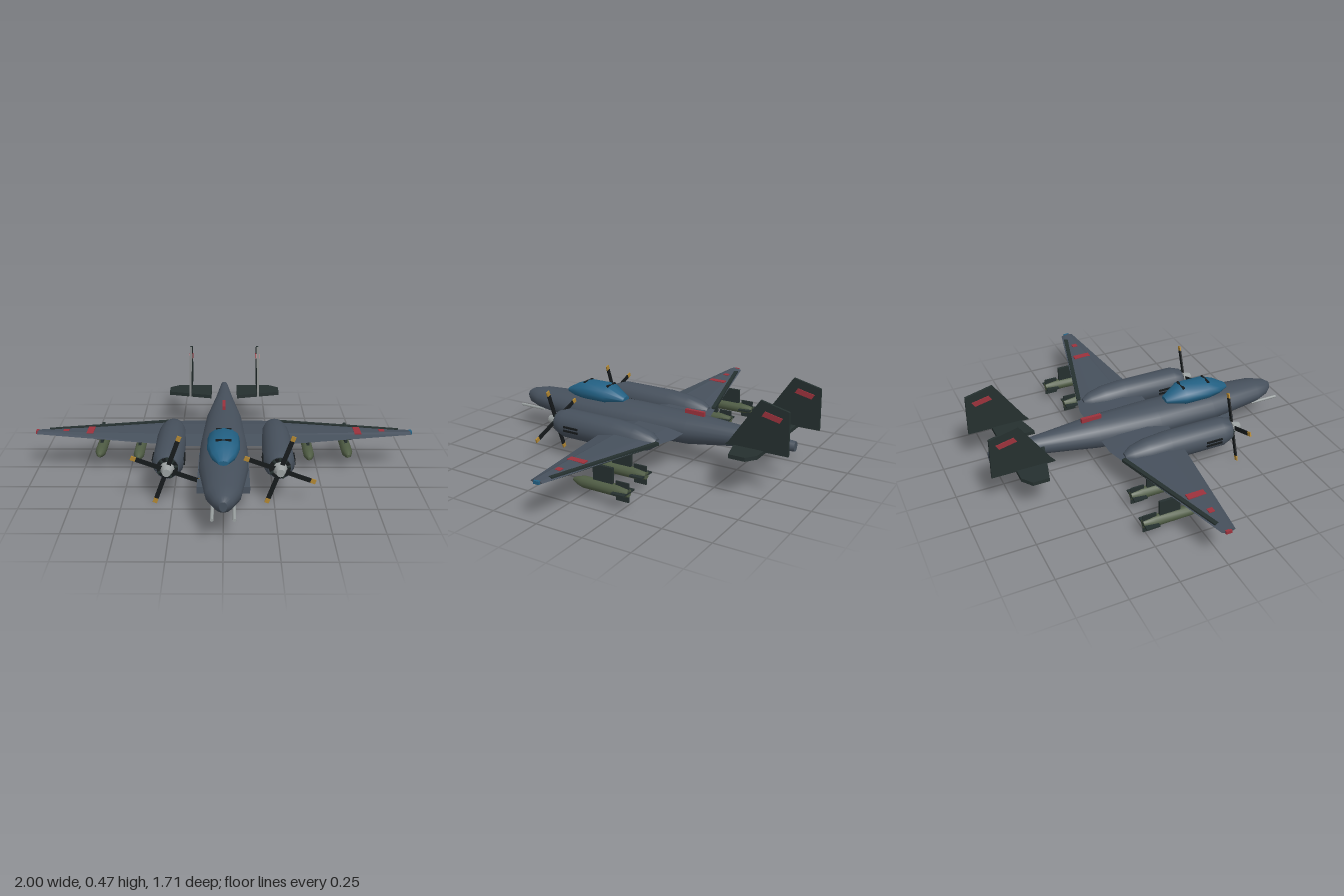
import * as THREE from 'three';

const mat = (name, color) => Object.assign(new THREE.MeshStandardMaterial({ color }), { name });
const M = {
  slate: mat('slate paint', 0x46505c),
  dark: mat('dark green paint', 0x25302f),
  black: mat('black', 0x15191b),
  olive: mat('olive', 0x4f5c44),
  glass: mat('blue glass', 0x226083),
  red: mat('red marking', 0x9c323c),
  gold: mat('yellow tip', 0xb08632),
  metal: mat('light metal', 0x9aa0a0),
};

// skin a list of closed rings, each counter-clockwise seen from the first end
function loft(rings, flat = false) {
  const n = rings[0].length, pos = [], idx = [];
  rings.forEach(r => r.forEach(p => pos.push(...p)));
  for (let i = 0; i < rings.length - 1; i++) {
    for (let j = 0; j < n; j++) {
      const a = i * n + j, b = i * n + (j + 1) % n;
      idx.push(a, a + n, b, b, a + n, b + n);
    }
  }
  // separate end caps keep a hard edge
  [rings[0], rings[rings.length - 1]].forEach((r, e) => {
    const base = pos.length / 3;
    r.forEach(p => pos.push(...p));
    for (let j = 1; j < n - 1; j++) idx.push(base, base + (e ? j + 1 : j), base + (e ? j : j + 1));
  });
  let g = new THREE.BufferGeometry();
  g.setAttribute('position', new THREE.Float32BufferAttribute(pos, 3));
  g.setIndex(idx);
  if (flat) g = g.toNonIndexed();
  g.computeVertexNormals();
  return g;
}

// elliptical body along z, stations are [z, centreY, halfWidth, halfHeight]
const body = (stations, sides) => loft(stations.map(([z, y, rx, ry]) =>
  Array.from({ length: sides }, (_, j) => {
    const a = (j / sides) * Math.PI * 2;
    return [Math.cos(a) * rx, y + Math.sin(a) * ry, z];
  })));

// flat outline with a centred thickness
function plate(points, depth) {
  const shape = new THREE.Shape(points.map(p => new THREE.Vector2(...p)));
  return new THREE.ExtrudeGeometry(shape, { depth, bevelEnabled: false }).translate(0, 0, -depth / 2);
}
const finPlate = (pts, d) => plate(pts.map(([z, y]) => [-z, y]), d).rotateY(Math.PI / 2);
const planPlate = (pts, d) => plate(pts.map(([x, z]) => [x, -z]), d).rotateX(-Math.PI / 2);
const rod = (rFront, rBack, len, sides = 12) =>
  new THREE.CylinderGeometry(rFront, rBack, len, sides).rotateX(Math.PI / 2);

function add(parent, name, geometry, material, x = 0, y = 0, z = 0) {
  const m = new THREE.Mesh(geometry, material);
  m.name = name;
  m.position.set(x, y, z);
  parent.add(m);
  return m;
}
const box = (parent, name, material, w, h, d, x, y, z) =>
  add(parent, name, new THREE.BoxGeometry(w, h, d), material, x, y, z);

function makePropeller() {
  const g = new THREE.Group();
  g.name = 'propeller';
  add(g, 'spinner', rod(0.02, 0.036, 0.055), M.metal, 0, 0, 0.012);
  for (let i = 0; i < 4; i++) {
    const arm = new THREE.Group();
    arm.name = 'blade';
    arm.rotation.z = THREE.MathUtils.degToRad(70 + i * 90);
    box(arm, 'bladeBody', M.black, 0.145, 0.022, 0.007, 0.0875, 0, 0);
    box(arm, 'bladeTip', M.gold, 0.026, 0.022, 0.007, 0.173, 0, 0);
    g.add(arm);
  }
  return g;
}

function makeEngine(s) {
  const g = new THREE.Group();
  g.name = s > 0 ? 'leftEngine' : 'rightEngine';
  g.position.set(s * 0.275, 0.181, 0);
  add(g, 'nacelle', body([[0.41, 0, 0.058, 0.058], [0.355, 0, 0.078, 0.077], [0.05, 0, 0.078, 0.076],
    [-0.07, 0, 0.07, 0.066], [-0.15, 0, 0.052, 0.046], [-0.19, 0, 0.024, 0.02]], 16), M.slate);
  add(g, 'cowlFace', rod(0.054, 0.054, 0.008, 16), M.black, 0, 0, 0.41);
  for (let i = 0; i < 9; i++) {
    const a = (i / 9) * Math.PI * 2;
    const c = add(g, 'cylinderHead', new THREE.CylinderGeometry(0.008, 0.008, 0.03, 6), M.dark,
      -Math.sin(a) * 0.039, Math.cos(a) * 0.039, 0.412);
    c.rotation.z = a;
  }
  for (const side of [-1, 1]) for (const y of [0.006, -0.014])
    box(g, 'exhaustPipe', M.black, 0.012, 0.01, 0.09, side * 0.076, y, 0.285);
  const p = makePropeller();
  p.position.z = 0.435;
  g.add(p);
  return g;
}

function makeBomb(x, z) {
  const g = new THREE.Group();
  g.name = 'bomb';
  g.position.set(x, 0.083, z);
  add(g, 'bombBody', body([[0.15, 0, 0.008, 0.008], [0.125, 0, 0.02, 0.02], [0.09, 0, 0.029, 0.029],
    [-0.1, 0, 0.029, 0.029], [-0.16, 0, 0.02, 0.02]], 12), M.olive);
  box(g, 'bombFin', M.dark, 0.096, 0.008, 0.07, 0, 0, -0.125);
  box(g, 'bombFin', M.dark, 0.008, 0.096, 0.07, 0, 0, -0.125);
  box(g, 'pylon', M.dark, 0.014, 0.09, 0.11, 0, 0.062, -0.02);
  return g;
}

export function createModel() {
  const root = new THREE.Group();
  root.name = 'twinEngineAircraft';

  // fuselage and canopy
  add(root, 'fuselage', body([[0.83, 0.18, 0.018, 0.024], [0.8, 0.18, 0.046, 0.043],
    [0.72, 0.182, 0.084, 0.059], [0.42, 0.173, 0.121, 0.083], [0.1, 0.172, 0.122, 0.088],
    [-0.24, 0.178, 0.1, 0.081], [-0.55, 0.192, 0.052, 0.05], [-0.81, 0.196, 0.021, 0.026]], 18), M.slate);
  add(root, 'canopy', body([[0.54, 0.262, 0.025, 0.012], [0.48, 0.272, 0.062, 0.036],
    [0.41, 0.28, 0.08, 0.055], [0.27, 0.28, 0.08, 0.056], [0.17, 0.264, 0.03, 0.014]], 12), M.glass);
  for (const z of [0.415, 0.268]) box(root, 'canopyFrame', M.black, 0.078, 0.012, 0.012, 0, 0.327, z);
  box(root, 'dorsalMarker', M.red, 0.018, 0.024, 0.11, 0, 0.267, -0.255);

  // wing, one section per station [x, leadZ, trailZ, y, thickness]
  const half = [[0.99, 0.028, -0.042, 0.204, 0.018], [0.2, 0.133, -0.24, 0.181, 0.045]];
  const stations = [...half, ...half.slice().reverse().map(([x, ...r]) => [-x, ...r])];
  add(root, 'wing', loft(stations.map(([x, l, t, y, h]) => {
    const at = f => l + (t - l) * f;
    return [[x, y, t], [x, y + h * 0.35, at(0.75)], [x, y + h / 2, at(0.3)],
      [x, y, l], [x, y - h / 2, at(0.3)], [x, y - h * 0.35, at(0.75)]];
  }), true), M.slate);

  for (const s of [1, -1]) {
    root.add(makeEngine(s));
    root.add(makeBomb(s * 0.665, -0.115), makeBomb(s * 0.455, -0.08));

    // wing details
    const aileron = box(root, 'aileron', M.dark, 0.655, 0.016, 0.022, s * 0.615, 0.196, -0.121);
    aileron.rotation.set(0, -s * 0.263, s * 0.026);
    box(root, 'wingStripe', M.red, 0.036, 0.009, 0.095, s * 0.71, 0.206, -0.022);
    box(root, 'wingMark', M.red, 0.03, 0.009, 0.03, s * 0.84, 0.208, -0.015);
    box(root, 'tipLight', s > 0 ? M.glass : M.red, 0.014, 0.016, 0.03, s * 0.993, 0.204, -0.01);

    // nose guns and cheek fairings
    add(root, 'noseGun', rod(0.008, 0.008, 0.16, 8), M.metal, s * 0.05, 0.128, 0.775);
    box(root, 'cheekFairing', M.slate, 0.04, 0.035, 0.42, s * 0.108, 0.118, 0.32);

    // tail surfaces
    add(root, 'tailplane', planPlate([[0.075, -0.54], [0.325, -0.605], [0.325, -0.69], [0.27, -0.73],
      [0.075, -0.73]].map(([x, z]) => [s * x, z]), 0.02), M.dark, 0, 0.217, 0);
    add(root, 'tailFin', finPlate([[-0.53, 0.222], [-0.55, 0.245], [-0.705, 0.475], [-0.85, 0.44],
      [-0.855, 0.222]], 0.013), M.dark, s * 0.2, 0, 0);
    add(root, 'finMark', finPlate([[-0.715, 0.4], [-0.73, 0.425], [-0.82, 0.405], [-0.805, 0.38]], 0.022),
      M.red, s * 0.2, 0, 0);
  }
  return root;
}
